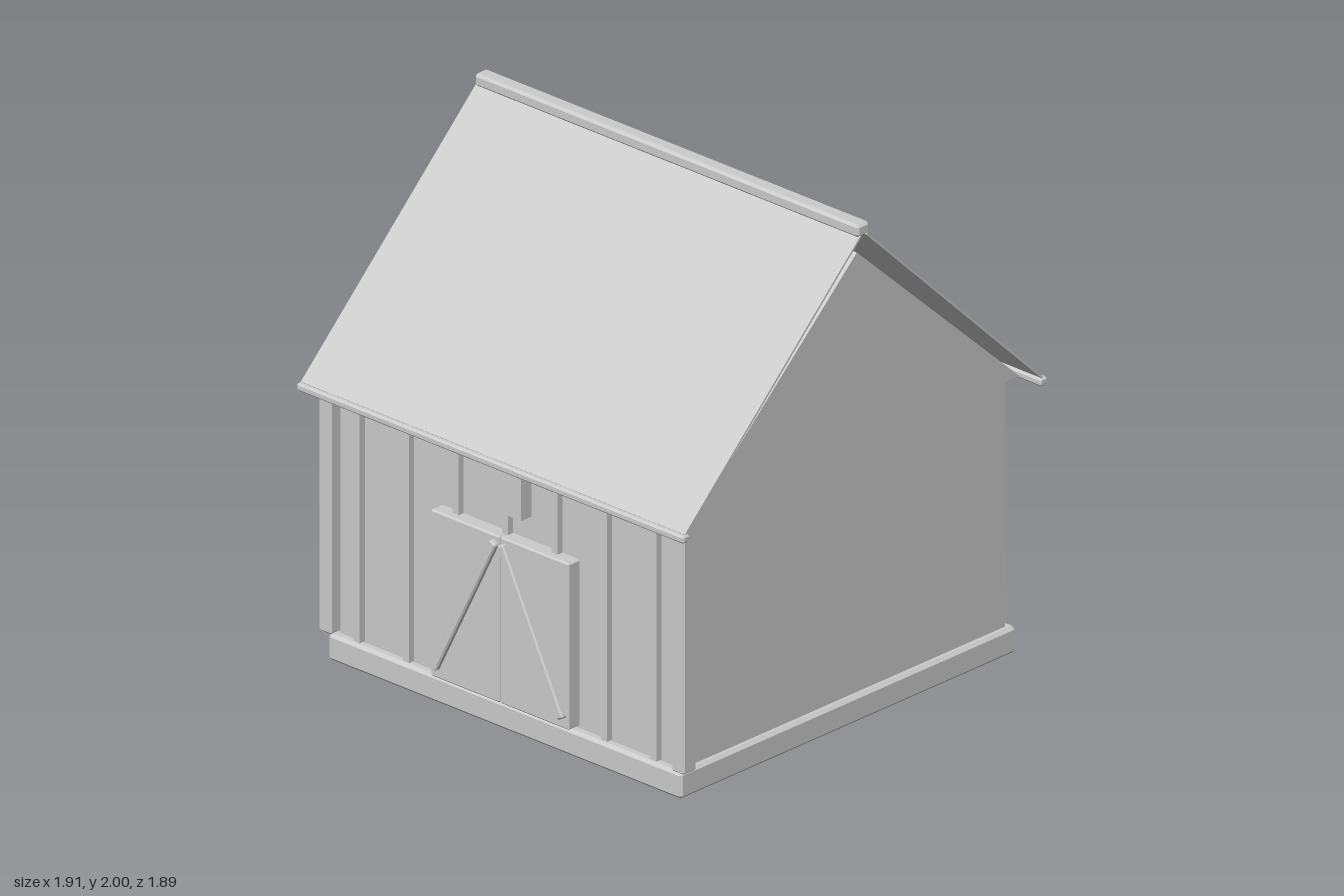
import * as THREE from 'three';
import { ConvexGeometry } from 'three/addons/geometries/ConvexGeometry.js';

const material = new THREE.MeshStandardMaterial({ color: 0xcccccc, side: THREE.DoubleSide, flatShading: true });

// Box with all edges chamfered by b, centred on its origin
function chamferBox(w, h, d, b) {
  const points = [];
  for (const sx of [-1, 1]) for (const sy of [-1, 1]) for (const sz of [-1, 1]) {
    const x = w / 2, y = h / 2, z = d / 2;
    points.push(
      new THREE.Vector3(sx * x, sy * (y - b), sz * (z - b)),
      new THREE.Vector3(sx * (x - b), sy * y, sz * (z - b)),
      new THREE.Vector3(sx * (x - b), sy * (y - b), sz * z));
  }
  return new ConvexGeometry(points);
}

export function createModel() {
  const barn = new THREE.Group();
  barn.name = 'barn';

  const add = (name, geometry, x = 0, y = 0, z = 0) => {
    const mesh = new THREE.Mesh(geometry, material);
    mesh.name = name;
    mesh.position.set(x, y, z);
    barn.add(mesh);
    return mesh;
  };

  // Block given by its min and max on each axis, optionally chamfered
  const block = (name, [x0, x1], [y0, y1], [z0, z1], bevel = 0) => {
    const size = [x1 - x0, y1 - y0, z1 - z0];
    const geometry = bevel ? chamferBox(...size, bevel) : new THREE.BoxGeometry(...size);
    return add(name, geometry, (x0 + x1) / 2, (y0 + y1) / 2, (z0 + z1) / 2);
  };

  // Foundation and walls
  block('foundation', [-0.87, 0.87], [0, 0.105], [-0.87, 0.87], 0.012);
  block('walls', [-0.845, 0.845], [0.1, 1.105], [-0.836, 0.836]);

  // Triangular gable block under the roof, running along x
  const triangle = new THREE.Shape([
    new THREE.Vector2(-0.84, 1.11), new THREE.Vector2(0.84, 1.11), new THREE.Vector2(0, 1.875)]);
  const gable = new THREE.ExtrudeGeometry(triangle, { depth: 1.82, bevelEnabled: false });
  gable.translate(0, 0, -0.91).rotateY(Math.PI / 2);
  add('gable', gable);

  // Roof panels and eave trims, front and back
  const ridge = new THREE.Vector2(0.015, 1.955);
  const eave = new THREE.Vector2(0.925, 1.085);
  const slope = eave.clone().sub(ridge);
  for (const side of [1, -1]) {
    const panel = add('roofPanel', new THREE.BoxGeometry(1.89, 0.008, slope.length()),
      0, (ridge.y + eave.y) / 2, side * (ridge.x + eave.x) / 2);
    panel.rotation.x = side * Math.atan2(-slope.y, slope.x);
    const trim = add('eaveTrim', chamferBox(1.906, 0.03, 0.038, 0.007), 0, 1.071, side * 0.926);
    trim.name = side > 0 ? 'frontEaveTrim' : 'backEaveTrim';
  }
  block('ridgeCap', [-0.945, 0.945], [1.95, 2], [-0.032, 0.032], 0.01);

  // Front corner posts
  for (const side of [1, -1]) {
    const post = add('cornerPost', chamferBox(0.062, 0.993, 0.065, 0.006), side * 0.869, 0.6085, 0.8525);
    post.name = side > 0 ? 'leftCornerPost' : 'rightCornerPost';
  }

  // Vertical battens across the front wall
  for (let i = -3; i <= 3; i++) {
    const x = i * 0.2435 - 0.002;
    block('batten', [x - 0.015, x + 0.015], [0.11, 1.1], [0.825, 0.862]);
  }

  // Loft hatch above the doors
  block('loftHatch', [-0.103, 0.103], [0.86, 1.07], [0.83, 0.889]);

  // Double doors with diagonal braces
  for (const side of [1, -1]) {
    const inner = side * 0.0015, outer = side * 0.34;
    block('door', [Math.min(inner, outer), Math.max(inner, outer)], [0.113, 0.768], [0.83, 0.893], 0.006);
    const top = new THREE.Vector2(side * 0.017, 0.745);
    const foot = new THREE.Vector2(side * 0.314, 0.155);
    const run = top.clone().sub(foot);
    const brace = add('doorBrace', chamferBox(0.034, run.length(), 0.035, 0.006),
      (top.x + foot.x) / 2, (top.y + foot.y) / 2, 0.896);
    brace.rotation.z = Math.atan2(-run.x, run.y);
  }

  return barn;
}
